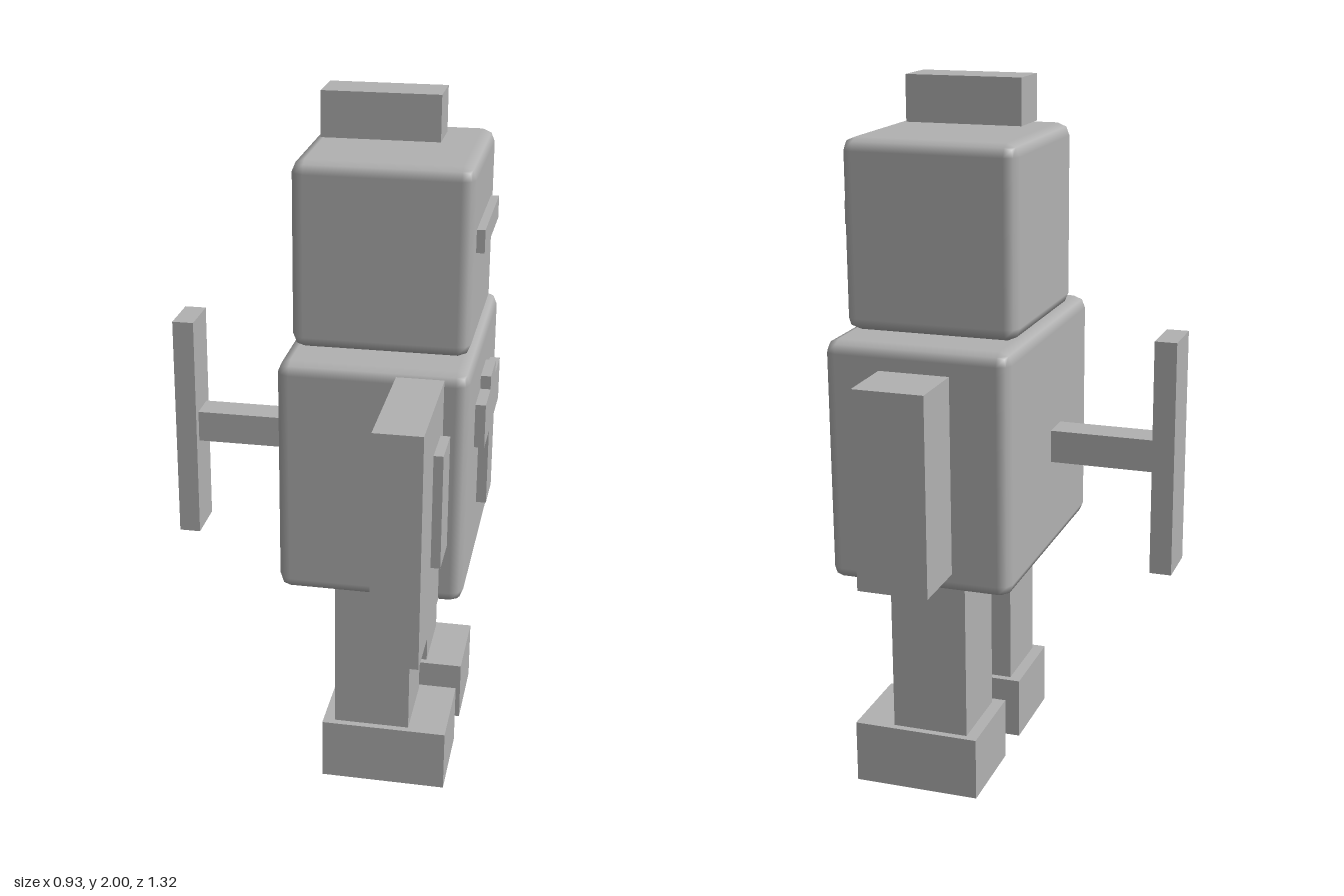
import * as THREE from 'three';
import { RoundedBoxGeometry } from 'three/addons/geometries/RoundedBoxGeometry.js';

const grey = new THREE.MeshStandardMaterial({ color: 0xb2b2b2 });
grey.name = 'grey';

export function createModel() {
  const group = new THREE.Group();
  group.name = 'boxRobot';

  // Block between two corners; a radius softens its edges
  function block(name, [x0, x1], [y0, y1], [z0, z1], radius = 0) {
    const size = [x1 - x0, y1 - y0, z1 - z0];
    const geometry = radius
      ? new RoundedBoxGeometry(...size, 1, radius)
      : new THREE.BoxGeometry(...size);
    const mesh = new THREE.Mesh(geometry, grey);
    mesh.name = name;
    mesh.position.set((x0 + x1) / 2, (y0 + y1) / 2, (z0 + z1) / 2);
    group.add(mesh);
  }

  // Head, with a crest floating above it and a visor slot on its +x face
  block('head', [-0.072, 0.419], [1.328, 1.85], [-0.355, 0.164], 0.035);
  block('crest', [-0.025, 0.303], [1.873, 2], [-0.161, -0.026]);
  block('visor', [0.4, 0.442], [1.606, 1.67], [-0.275, 0.085]);

  // Torso and its cross-shaped chest plate
  block('torso', [-0.089, 0.434], [0.645, 1.328], [-0.471, 0.281], 0.035);
  block('chestUpright', [0.42, 0.463], [0.822, 1.215], [-0.161, -0.026]);
  block('chestBarFront', [0.42, 0.463], [1.049, 1.176], [-0.026, 0.098]);
  block('chestBarBack', [0.42, 0.463], [1.049, 1.176], [-0.288, -0.161]);

  // Long arm with an inset panel, and the short arm opposite
  block('longArm', [0.238, 0.368], [0.656, 1.31], [0.264, 0.659]);
  block('armPanel', [0.36, 0.394], [0.853, 1.176], [0.331, 0.466]);
  block('shortArm', [0.072, 0.27], [0.706, 1.26], [-0.659, -0.477]);

  // Wind-up key on the -x side
  block('keyShaft', [-0.401, -0.104], [0.937, 1.029], [-0.142, -0.05]);
  block('keyPlate', [-0.463, -0.401], [0.647, 1.316], [-0.166, -0.024]);

  // Legs and feet, mirrored about the body's centre plane
  for (const side of [1, -1]) {
    const span = (a, b) => [a, b].map((d) => -0.095 + side * d).sort((p, q) => p - q);
    block('leg', [0.063, 0.283], [0.18, 0.66], span(0.086, 0.308));
    block('foot', [0.029, 0.394], [0, 0.183], span(0.065, 0.328));
  }

  return group;
}
